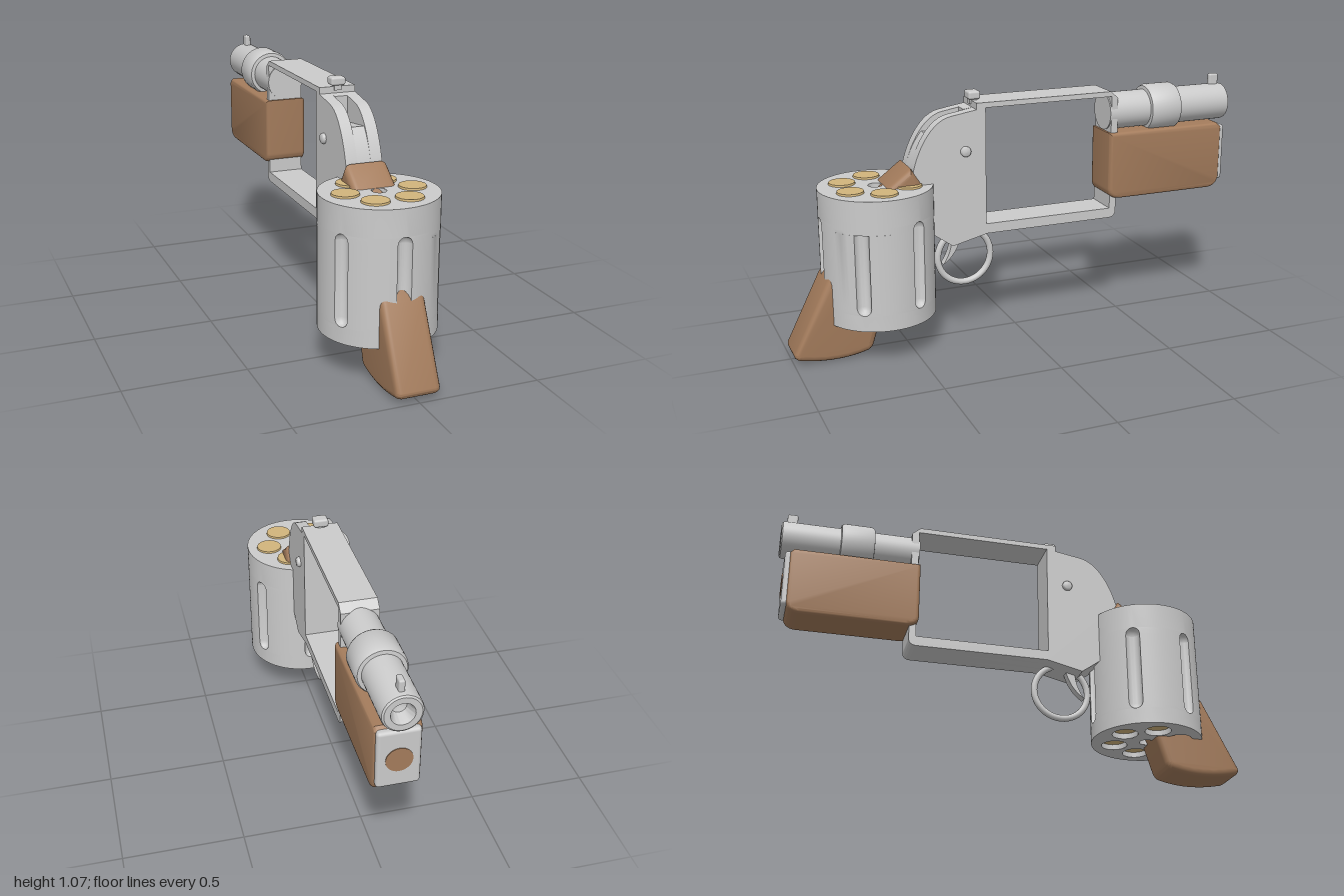
import * as THREE from 'three';
import { toCreasedNormals } from 'three/addons/utils/BufferGeometryUtils.js';
import { RoundedBoxGeometry } from 'three/addons/geometries/RoundedBoxGeometry.js';

const steel = new THREE.MeshStandardMaterial({ color: 0xcccccc });
const steelOpen = new THREE.MeshStandardMaterial({ color: 0xcccccc, side: THREE.DoubleSide });
const wood = new THREE.MeshStandardMaterial({ color: 0xa47c5c });
const brass = new THREE.MeshStandardMaterial({ color: 0xd2b57c });

export function createModel() {
  const model = new THREE.Group();

  function add(name, geometry, material = steel, x = 0, y = 0, z = 0, parent = model) {
    const mesh = new THREE.Mesh(geometry, material);
    mesh.name = name;
    mesh.position.set(x, y, z);
    parent.add(mesh);
    return mesh;
  }

  // Side profile drawn in (z, y), extruded across x and centred on x = 0
  function slab(shape, width, bevel = 0) {
    const g = new THREE.ExtrudeGeometry(shape, {
      depth: width - 2 * bevel, bevelEnabled: bevel > 0, bevelSize: bevel,
      bevelThickness: bevel, bevelOffset: -bevel, bevelSegments: 4, curveSegments: 12,
    });
    g.translate(0, 0, -(width - 2 * bevel) / 2);
    g.rotateY(-Math.PI / 2);
    return toCreasedNormals(g, 0.6);
  }

  // Lathe around the z axis; points are [radius, -z]
  function turnedZ(points) {
    const g = new THREE.LatheGeometry(points.map(p => new THREE.Vector2(...p)), 48);
    return toCreasedNormals(g.rotateX(-Math.PI / 2), 0.6);
  }

  // Frame: two cheeks around a core that carries the hammer slot
  function frameShape(slot) {
    const s = new THREE.Shape();
    s.moveTo(0.157, 0.467);
    s.lineTo(0.31, 0.43);
    s.lineTo(0.394, 0.49);
    s.lineTo(0.46, 0.57);
    s.lineTo(0.475, 0.77);
    if (slot) {
      s.quadraticCurveTo(0.455, 0.85, 0.405, 0.91);
      s.lineTo(0.24, 0.89);
      s.lineTo(0.24, 0.998);
    } else {
      s.bezierCurveTo(0.45, 0.87, 0.39, 0.975, 0.31, 0.985);
    }
    s.lineTo(0.2, 1.003);
    s.lineTo(0.2, 1.03);
    s.lineTo(-0.41, 1.03);
    s.lineTo(-0.445, 1.0);
    s.lineTo(-0.445, 0.5);
    s.quadraticCurveTo(-0.445, 0.467, -0.41, 0.467);
    s.closePath();
    const hole = new THREE.Path();
    hole.moveTo(0.16, 0.51);
    hole.lineTo(0.16, 1.008);
    hole.lineTo(-0.415, 1.008);
    hole.lineTo(-0.415, 0.51);
    hole.closePath();
    s.holes.push(hole);
    return s;
  }
  const frame = new THREE.Group();
  frame.name = 'frame';
  model.add(frame);
  add('frameCore', slab(frameShape(true), 0.056), steel, 0, 0, 0, frame);
  for (const side of [-1, 1]) {
    add('frameCheek', slab(frameShape(false), 0.049), steel, side * 0.0525, 0, 0, frame);
    const screw = new THREE.LatheGeometry(
      [[0.022, 0], [0.022, 0.011], [0.016, 0.017], [0, 0.018]].map(p => new THREE.Vector2(...p)), 20);
    add('frameScrew', screw, steel, side * 0.075, 0.833, 0.25, frame).rotation.z = -side * Math.PI / 2;
  }

  // Sights
  add('rearSight', new RoundedBoxGeometry(0.062, 0.034, 0.052, 3, 0.009), steel, 0, 1.052, 0.19);
  add('rearSightPost', new THREE.BoxGeometry(0.03, 0.03, 0.035), steel, 0, 1.03, 0.19);
  add('frontSight', new RoundedBoxGeometry(0.024, 0.065, 0.045, 3, 0.008), steel, 0, 1.023, -0.955);

  // Barrel with a dished muzzle, and its collar
  add('barrel', turnedZ([[0, 0.41], [0.08, 0.41], [0.08, 0.985], [0.077, 0.995], [0.07, 1],
    [0.046, 1], [0.04, 0.985], [0.028, 0.95], [0, 0.94]]), steel, 0, 0.93, 0);
  add('barrelCollar', turnedZ([[0.08, 0.605], [0.095, 0.607], [0.102, 0.62], [0.102, 0.735],
    [0.095, 0.748], [0.08, 0.75]]), steel, 0, 0.93, 0);

  // Wooden fore-end with steel end plate and plug
  const foreEnd = new THREE.Shape();
  foreEnd.moveTo(-0.405, 0.848);
  foreEnd.lineTo(-0.94, 0.848);
  foreEnd.lineTo(-0.958, 0.83);
  foreEnd.lineTo(-0.958, 0.6);
  foreEnd.quadraticCurveTo(-0.95, 0.553, -0.9, 0.553);
  foreEnd.lineTo(-0.46, 0.553);
  foreEnd.quadraticCurveTo(-0.405, 0.555, -0.405, 0.6);
  foreEnd.closePath();
  add('foreEnd', slab(foreEnd, 0.184, 0.016), wood);
  add('foreEndPlate', new RoundedBoxGeometry(0.168, 0.25, 0.06, 3, 0.014), steel, 0, 0.712, -0.947);
  add('foreEndPlug', new THREE.CylinderGeometry(0.052, 0.052, 0.02, 32).rotateX(Math.PI / 2),
    wood, 0, 0.71, -0.97);

  // Slanted grip running through the drum
  const grip = new THREE.Shape();
  grip.moveTo(0.485, 0.785);
  grip.lineTo(0.585, 0.71);
  grip.lineTo(0.85, 0.345);
  grip.lineTo(0.995, 0.055);
  grip.quadraticCurveTo(1.005, 0.03, 0.975, 0.02);
  grip.quadraticCurveTo(0.82, -0.015, 0.69, 0.022);
  grip.quadraticCurveTo(0.672, 0.03, 0.665, 0.05);
  grip.lineTo(0.63, 0.163);
  grip.lineTo(0.437, 0.71);
  grip.closePath();
  add('grip', slab(grip, 0.184, 0.026), wood);

  // Trigger guard ring and curved trigger
  add('triggerGuard', new THREE.TorusGeometry(0.119, 0.014, 12, 48).rotateY(Math.PI / 2),
    steel, 0, 0.355, 0.235);
  const trigger = new THREE.Shape();
  trigger.moveTo(0.25, 0.47);
  trigger.quadraticCurveTo(0.265, 0.375, 0.335, 0.33);
  trigger.quadraticCurveTo(0.29, 0.39, 0.295, 0.47);
  trigger.closePath();
  add('trigger', slab(trigger, 0.036), steel);

  // Drum wall: stacked cross-sections with six round-bottomed flutes
  const R = 0.237, bottom = 0.163, top = 0.71, low = 0.23, half = 0.03;
  const drum = new THREE.Group();
  drum.name = 'drum';
  drum.position.z = 0.615;
  model.add(drum);
  function fluteHalfWidth(y, flat) {
    const end = flat ? 0.5701 : 0.6;
    if (y <= low || y >= end) return 0;
    const d = Math.min(half, y - low, flat ? half : end - y);
    return Math.sqrt(half * half - (half - d) ** 2);
  }
  const rows = [bottom, 0.23, 0.232, 0.237, 0.245, 0.26, 0.57, 0.5702, 0.585, 0.593, 0.598, 0.6, top];
  const pos = [], index = [];
  let count = 0;
  for (const y of rows) {
    count = 0;
    const put = (a, r) => { pos.push(r * Math.sin(a), y, r * Math.cos(a)); count++; };
    for (let k = 0; k < 6; k++) {
      const w = fluteHalfWidth(y, k === 1), mid = k * Math.PI / 3, edge = w / R;
      for (let i = 0; i < 6; i++) put(mid - THREE.MathUtils.lerp(Math.PI / 6, edge, i / 6), R);
      for (let i = 0; i <= 10; i++) {
        const a = i / 10 * Math.PI;
        put(mid - edge * Math.cos(a), R - w * Math.sin(a));
      }
      for (let i = 1; i < 6; i++) put(mid + THREE.MathUtils.lerp(edge, Math.PI / 6, i / 6), R);
    }
  }
  for (let j = 0; j < rows.length - 1; j++) {
    for (let i = 0; i < count; i++) {
      const a = j * count + i, d = j * count + (i + 1) % count;
      index.push(a, d, a + count, d, d + count, a + count);
    }
  }
  const wall = new THREE.BufferGeometry();
  wall.setAttribute('position', new THREE.Float32BufferAttribute(pos, 3));
  wall.setIndex(index);
  add('drumWall', toCreasedNormals(wall, 0.6), steel, 0, 0, 0, drum);

  // Drum end faces pierced by six chambers and the axle hole
  const face = new THREE.Shape().absarc(0, 0, R, 0, Math.PI * 2);
  const chambers = [];
  for (let k = 0; k < 6; k++) {
    const a = (k + 0.5) * Math.PI / 3;
    chambers.push([0.14 * Math.sin(a), 0.14 * Math.cos(a)]);
  }
  for (const [x, z] of chambers) face.holes.push(new THREE.Path().absarc(x, z, 0.055, 0, Math.PI * 2, true));
  face.holes.push(new THREE.Path().absarc(0, 0, 0.03, 0, Math.PI * 2, true));
  add('drumTop', new THREE.ShapeGeometry(face, 36).rotateX(-Math.PI / 2), steel, 0, top, 0, drum);
  add('drumBottom', new THREE.ShapeGeometry(face, 36).rotateX(Math.PI / 2), steel, 0, bottom, 0, drum);
  const height = top - bottom, middle = (top + bottom) / 2;
  add('axleHole', new THREE.CylinderGeometry(0.03, 0.03, height, 24, 1, true), steelOpen, 0, middle, 0, drum);

  // Chamber walls and brass cartridges
  for (const [x, z] of chambers) {
    add('chamber', new THREE.CylinderGeometry(0.055, 0.055, height, 32, 1, true), steelOpen, x, middle, z, drum);
    add('cartridge', new THREE.CylinderGeometry(0.052, 0.052, 0.53, 32), brass, x, 0.45, z, drum);
    add('cartridgeRim', new THREE.CylinderGeometry(0.054, 0.056, 0.01, 32), brass, x, 0.713, z, drum);
  }
  return model;
}
